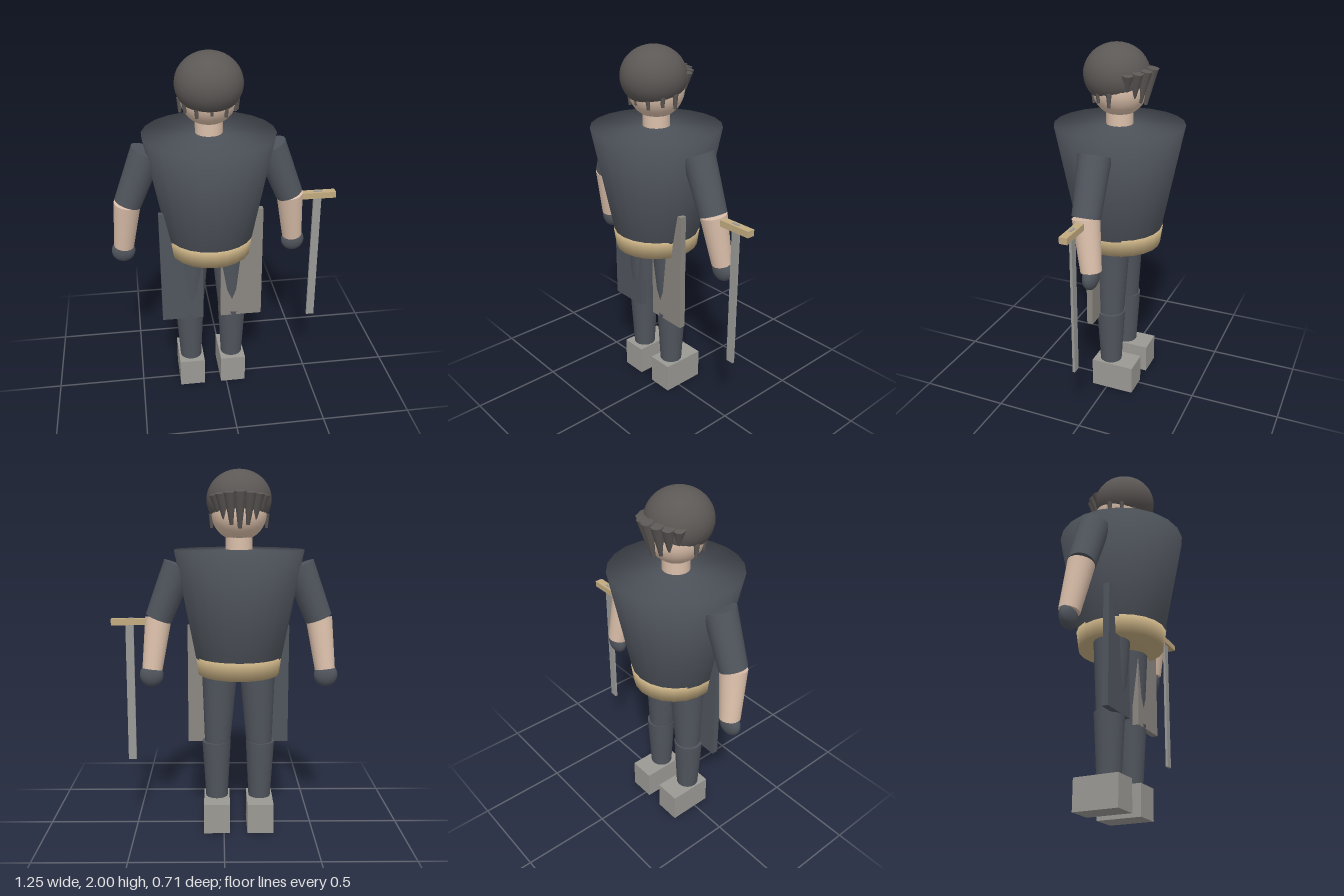
import * as THREE from 'three';
import { mergeVertices } from 'three/addons/utils/BufferGeometryUtils.js';

const CENTER = -0.082; // the figure stands off-centre, the sword balances it

const mat = (color) => new THREE.MeshStandardMaterial({ color });
const coat = mat(0x50555d), skin = mat(0xdcc0ab), tan = mat(0xc2ab80);
const hair = mat(0x5c5856), boot = mat(0x9b9994), cloth = mat(0x8b8782), steel = mat(0x999997);

function add(parent, name, geometry, material, x = 0, y = 0, z = 0) {
  const mesh = new THREE.Mesh(geometry, material);
  mesh.name = name;
  mesh.position.set(x, y, z);
  parent.add(mesh);
  return mesh;
}

// Tapered cylinder from point a (radius ra) to point b (radius rb)
function limb(parent, name, material, a, ra, b, rb, sides = 20) {
  const from = new THREE.Vector3(...a), to = new THREE.Vector3(...b);
  const axis = from.clone().sub(to);
  const mesh = add(parent, name, new THREE.CylinderGeometry(ra, rb, axis.length(), sides), material);
  mesh.position.copy(from).add(to).multiplyScalar(0.5);
  mesh.quaternion.setFromUnitVectors(new THREE.Vector3(0, 1, 0), axis.normalize());
  return mesh;
}

// Closed tapered cylinder whose shading rolls softly over the rims
function softDrum(top, bottom, height, sides) {
  const g = new THREE.CylinderGeometry(top, bottom, height, sides);
  g.deleteAttribute('normal');
  g.deleteAttribute('uv');
  const soft = mergeVertices(g);
  soft.computeVertexNormals();
  return soft;
}

export function createModel() {
  const model = new THREE.Group();
  model.name = 'swordsman';
  const body = new THREE.Group();
  body.name = 'body';
  body.position.x = CENTER;
  model.add(body);

  // Torso and belt
  add(body, 'torso', softDrum(0.354, 0.238, 0.595, 22), coat, 0, 1.2775, 0);
  add(body, 'belt', softDrum(0.247, 0.233, 0.1, 22), tan, 0, 0.94, 0).scale.x = 0.965;

  // Neck and head
  add(body, 'neck', new THREE.CylinderGeometry(0.073, 0.073, 0.14, 20), skin, 0, 1.61, 0);
  add(body, 'head', new THREE.SphereGeometry(0.15, 32, 24), skin, 0, 1.77, 0);

  // Hair: cap, thick fringe on the face side, thin strands round the nape
  add(body, 'hairCap', new THREE.SphereGeometry(0.176, 32, 24), hair, 0, 1.84, 0.018).scale.y = 0.91;
  for (let i = -3; i <= 3; i++) {
    const a = (i * Math.PI) / 10, t = Math.abs(i) / 3;
    const sx = Math.sin(a), sz = -Math.cos(a);
    const rTop = 0.18 - 0.02 * t, rTip = 0.145 - 0.02 * t;
    limb(body, 'fringeLock', hair,
      [sx * rTop, 1.88 - 0.015 * t, sz * rTop], 0.032,
      [sx * rTip, 1.69 + 0.055 * t, sz * rTip], 0.01, 12);
  }
  for (let i = -3; i <= 3; i++) {
    const a = (i * Math.PI) / 6, len = i % 2 ? 0.075 : 0.06;
    const sx = Math.sin(a) * 0.148, sz = Math.cos(a) * 0.135;
    limb(body, 'napeStrand', hair, [sx, 1.765, sz], 0.016, [sx, 1.765 - len, sz], 0.008, 8);
  }

  for (const s of [-1, 1]) {
    const side = s > 0 ? 'left' : 'right';

    // Arm
    limb(body, side + 'UpperArm', coat, [s * 0.326, 1.49, 0], 0.087, [s * 0.442, 1.197, 0], 0.075);
    limb(body, side + 'Forearm', skin, [s * 0.444, 1.2, 0], 0.073, [s * 0.478, 0.92, -0.04], 0.056);
    add(body, side + 'Hand', new THREE.SphereGeometry(0.066, 24, 16), coat, s * 0.483, 0.887, -0.04)
      .scale.z = 0.62;

    // Leg
    limb(body, side + 'Thigh', coat, [s * 0.105, 0.92, 0], 0.1, [s * 0.118, 0.49, 0], 0.072);
    limb(body, side + 'Shin', coat, [s * 0.124, 0.495, 0], 0.081, [s * 0.122, 0.16, 0], 0.062);
    add(body, side + 'Boot', new THREE.BoxGeometry(0.146, 0.168, 0.25), boot, s * 0.122, 0.084, -0.035);

    // Coat tail, grey on the sword side
    add(body, side + 'CoatTail', new THREE.BoxGeometry(0.235, 0.675, 0.034),
      s > 0 ? cloth : coat, s * 0.168, 0.8125, 0.061);
  }

  // Sword hanging point down beside the left hand
  const sword = new THREE.Group();
  sword.name = 'sword';
  sword.position.x = 0.522;
  model.add(sword);
  add(sword, 'guard', new THREE.BoxGeometry(0.2, 0.035, 0.044), tan, 0, 1.18, 0);
  add(sword, 'blade', new THREE.BoxGeometry(0.045, 0.815, 0.014), steel, 0, 0.7925, 0);

  return model;
}
